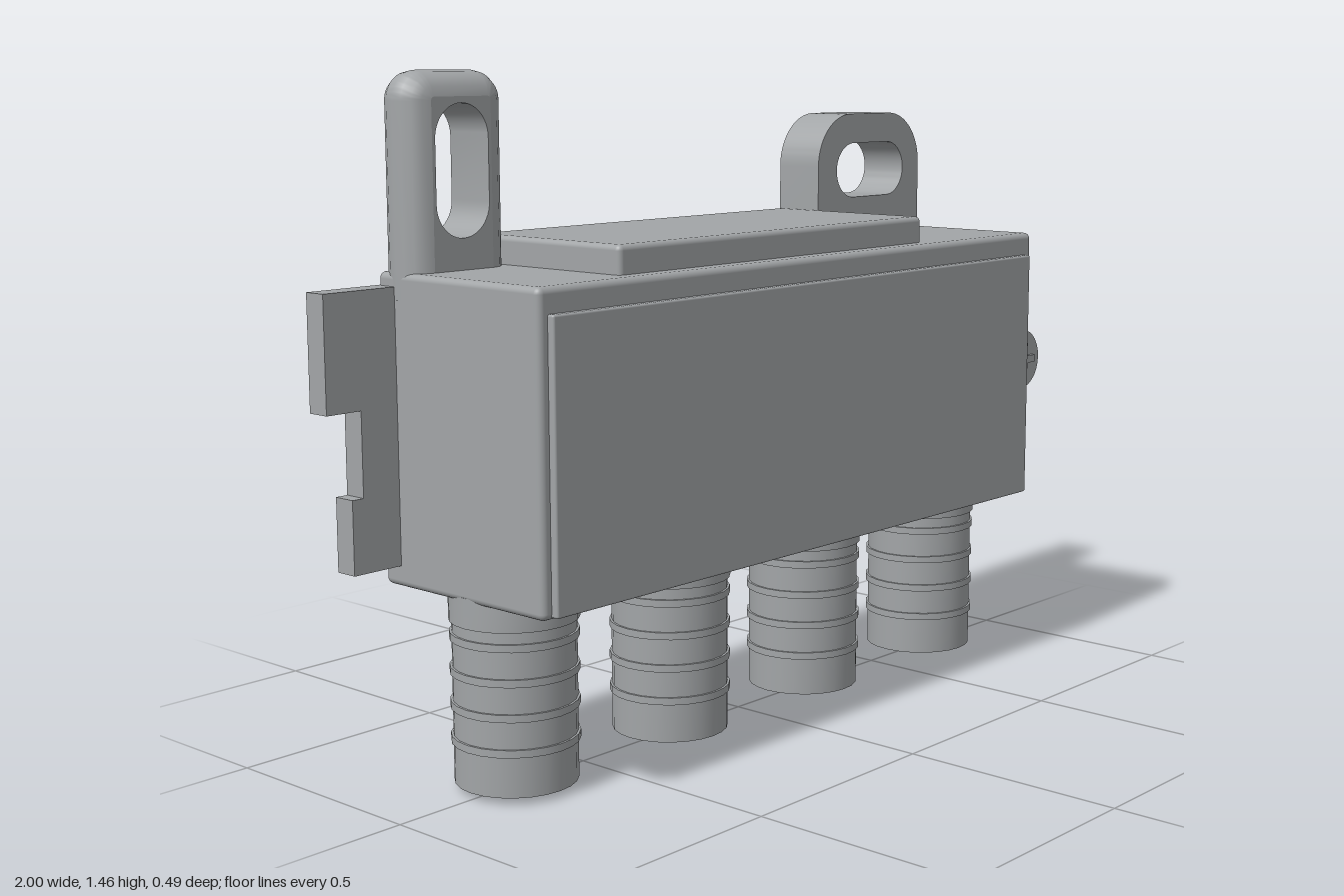
import * as THREE from 'three';
import { RoundedBoxGeometry } from 'three/addons/geometries/RoundedBoxGeometry.js';
import { toCreasedNormals } from 'three/addons/utils/BufferGeometryUtils.js';

const metal = new THREE.MeshStandardMaterial({ color: 0xa2a5a7 });
metal.name = 'grey metal';

function add(parent, name, geometry) {
  const mesh = new THREE.Mesh(geometry, metal);
  mesh.name = name;
  parent.add(mesh);
  return mesh;
}

// Box given by its limits, with optional rounded edges
function box(parent, name, x0, x1, y0, y1, z0, z1, r = 0) {
  const s = [x1 - x0, y1 - y0, z1 - z0];
  const g = r ? new RoundedBoxGeometry(...s, 3, r) : new THREE.BoxGeometry(...s);
  const mesh = add(parent, name, g);
  mesh.position.set((x0 + x1) / 2, (y0 + y1) / 2, (z0 + z1) / 2);
  return mesh;
}

function cylinder(parent, name, r, y0, y1, sides = 24) {
  const g = toCreasedNormals(new THREE.CylinderGeometry(r, r, y1 - y0, sides), 0.5);
  const mesh = add(parent, name, g);
  mesh.position.y = (y0 + y1) / 2;
  return mesh;
}

// Tab outline with rounded top corners
function tabShape(x0, x1, y0, y1, r) {
  const s = new THREE.Shape();
  s.moveTo(x0, y0);
  s.lineTo(x1, y0);
  s.lineTo(x1, y1 - r);
  s.absarc(x1 - r, y1 - r, r, 0, Math.PI / 2);
  s.lineTo(x0 + r, y1);
  s.absarc(x0 + r, y1 - r, r, Math.PI / 2, Math.PI);
  s.closePath();
  return s;
}

// Stadium-shaped hole, upright or lying
function slot(x0, x1, y0, y1) {
  const p = new THREE.Path();
  const r = Math.min(x1 - x0, y1 - y0) / 2;
  if (y1 - y0 > x1 - x0) {
    p.absarc(x0 + r, y1 - r, r, 0, Math.PI);
    p.absarc(x0 + r, y0 + r, r, Math.PI, Math.PI * 2);
  } else {
    p.absarc(x1 - r, y0 + r, r, -Math.PI / 2, Math.PI / 2);
    p.absarc(x0 + r, y0 + r, r, Math.PI / 2, Math.PI * 1.5);
  }
  p.closePath();
  return p;
}

// Pill-edged tab: outline rings swept through a half circle, plus flat faces with the slot
function roundedTab(parent) {
  const x0 = -0.825, x1 = -0.565, y0 = 1.0, y1 = 1.455, z = -0.182, half = 0.058, b = 0.052;
  const hole = slot(-0.765, -0.625, 1.12, 1.39);
  const steps = 8, rings = [];
  for (let i = 0; i <= steps; i++) {
    const a = -Math.PI / 2 + (Math.PI * i) / steps;
    const inset = b * (1 - Math.cos(a));
    const pts = tabShape(x0 + inset, x1 - inset, y0, y1 - inset, 0.06 - inset).getPoints(8);
    rings.push(pts.map((p) => [p.x, p.y, half * Math.sin(a)]));
  }
  const pos = [], n = rings[0].length;
  for (let i = 0; i < steps; i++) {
    for (let j = 0; j < n - 1; j++) {
      const a = rings[i][j], c = rings[i][j + 1], d = rings[i + 1][j + 1], e = rings[i + 1][j];
      pos.push(...a, ...c, ...d, ...a, ...d, ...e);
    }
  }
  const g = new THREE.BufferGeometry();
  g.setAttribute('position', new THREE.Float32BufferAttribute(pos, 3));
  add(parent, 'roundedTabEdge', toCreasedNormals(g, 0.8)).position.z = z;

  const face = tabShape(x0 + b, x1 - b, y0, y1 - b, 0.008);
  // The slot is slightly wider than the flat face, so its core sits inside the rounding
  const core = tabShape(x0 + b, x1 - b, y0, y1 - b, 0.008);
  core.holes.push(hole);
  const coreGeo = new THREE.ExtrudeGeometry(core, { depth: half * 2, bevelEnabled: false, curveSegments: 12 });
  face.holes.push(hole);
  add(parent, 'roundedTabCore', toCreasedNormals(coreGeo, 0.5)).position.z = z - half;
}

// Threaded connector under the body
function connector(x) {
  const g = new THREE.Group();
  g.name = 'connector';
  g.position.x = x;
  cylinder(g, 'barrel', 0.128, 0.015, 0.42);
  cylinder(g, 'collar', 0.134, 0.357, 0.42);
  for (const y of [0.108, 0.181, 0.253, 0.325]) cylinder(g, 'threadRing', 0.133, y - 0.008, y + 0.008);
  cylinder(g, 'insulator', 0.045, 0.009, 0.02);
  cylinder(g, 'centrePin', 0.014, 0, 0.02, 12);
  return g;
}

// Outline of stepped side flange
function steppedFlange(parent) {
  const s = new THREE.Shape([
    [-0.8, 0.455], [-0.8, 1.027], [-1, 1.027], [-1, 0.787], [-0.915, 0.787],
    [-0.915, 0.61], [-0.943, 0.61], [-0.943, 0.455],
  ].map(([x, y]) => new THREE.Vector2(x, y)));
  const g = new THREE.ExtrudeGeometry(s, { depth: 0.052, bevelEnabled: false });
  add(parent, 'steppedFlange', g).position.z = -0.243;
}

export function createModel() {
  const model = new THREE.Group();
  model.name = 'signalSplitter';

  // Housing and raised panels
  box(model, 'body', -0.823, 0.83, 0.41, 1.055, -0.243, 0.227, 0.014);
  box(model, 'frontPanel', -0.8, 0.803, 0.415, 1.003, 0.18, 0.243, 0.005);
  box(model, 'topPanel', -0.563, 0.435, 1.0, 1.115, -0.244, 0.184, 0.012);

  // Mounting tabs
  roundedTab(model);
  const wide = tabShape(0.432, 0.832, 1.0, 1.343, 0.125);
  wide.holes.push(slot(0.503, 0.767, 1.14, 1.272));
  const wideGeo = new THREE.ExtrudeGeometry(wide, { depth: 0.12, bevelEnabled: false, curveSegments: 12 });
  add(model, 'wideTab', toCreasedNormals(wideGeo, 0.5)).position.z = -0.243;

  // Side flanges
  steppedFlange(model);
  box(model, 'plainFlange', 0.8, 0.952, 0.455, 1.027, -0.243, -0.191);

  // Grounding block with cross-head screw
  box(model, 'groundBlock', 0.834, 0.996, 0.622, 0.823, -0.243, 0.08, 0.012);
  box(model, 'blockRoot', 0.8, 0.85, 0.635, 0.81, -0.23, 0.06);
  const screw = new THREE.Group();
  screw.name = 'groundScrew';
  screw.position.set(0.922, 0.724, 0);
  screw.rotation.x = Math.PI / 2;
  cylinder(screw, 'screwHead', 0.074, 0.06, 0.146, 28);
  box(screw, 'crossBar', -0.042, 0.042, 0.14, 0.157, -0.009, 0.009);
  box(screw, 'crossPost', -0.009, 0.009, 0.14, 0.157, -0.042, 0.042);
  model.add(screw);

  // Row of connectors
  for (const x of [-0.69, -0.229, 0.232, 0.692]) model.add(connector(x));

  return model;
}
